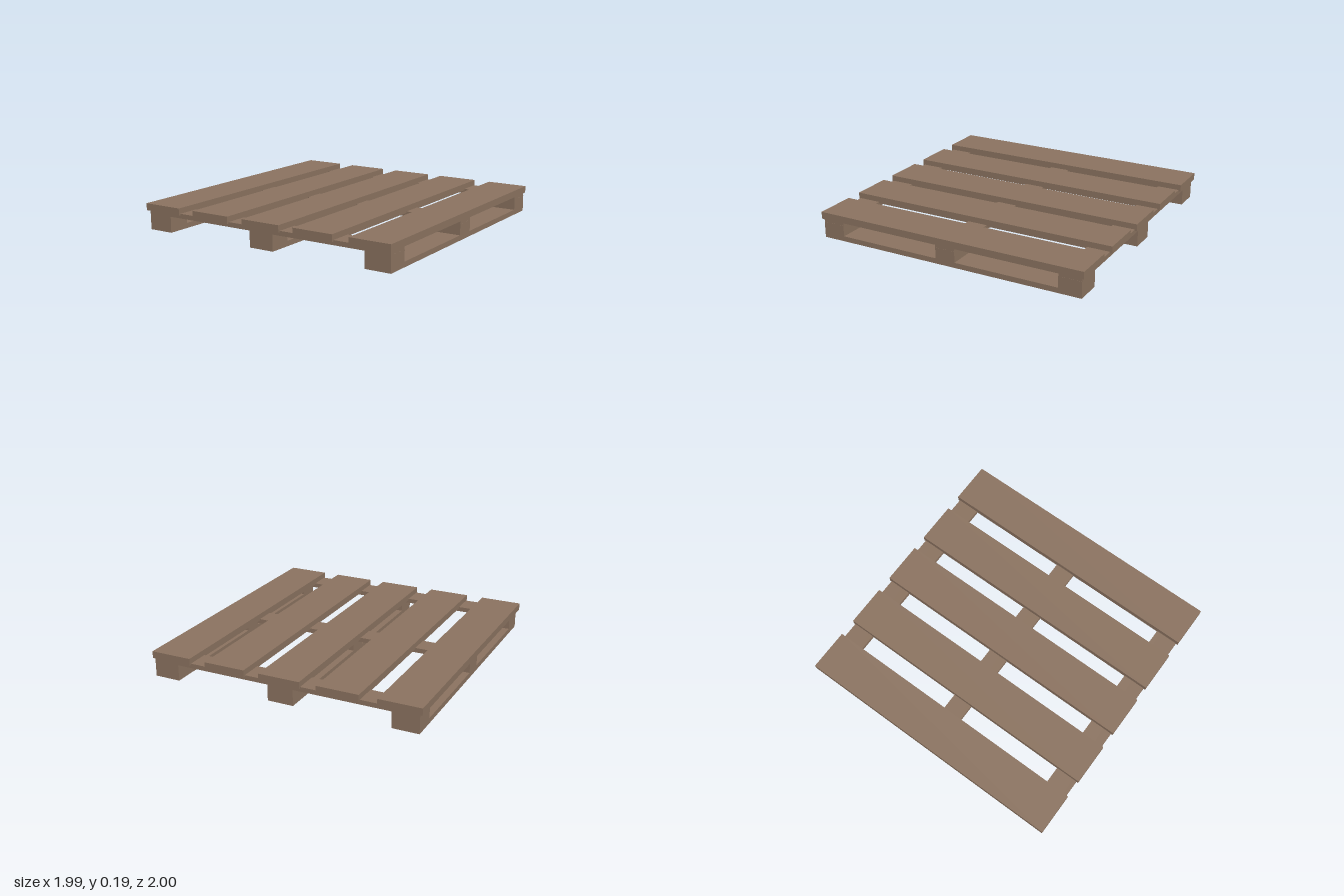
import * as THREE from 'three';

export function createModel() {
  const pallet = new THREE.Group();
  pallet.name = 'pallet';
  const wood = new THREE.MeshStandardMaterial({ color: 0x8b7360, flatShading: true });

  // One plank or block, given by its centre in plan, size and bottom/top heights
  function addBox(name, x, z, width, depth, bottom, top) {
    const mesh = new THREE.Mesh(new THREE.BoxGeometry(width, top - bottom, depth), wood);
    mesh.name = name;
    mesh.position.set(x, (bottom + top) / 2, z);
    pallet.add(mesh);
  }

  const runnerTop = 0.037, crossBottom = 0.115, crossTop = 0.148, deckBottom = 0.138, deckTop = 0.188;
  const columns = [-0.88, 0.004, 0.892];
  const rows = [[-0.904, 0.162], [0, 0.146], [0.904, 0.162]]; // centre z, depth

  // Deck boards running front to back
  [-0.845, -0.417, 0.006, 0.419, 0.843].forEach((x, i) =>
    addBox(`deckBoard${i + 1}`, x, 0, 0.302, 2, deckBottom, deckTop));

  // Cross boards under the deck
  rows.forEach(([z, depth], i) =>
    addBox(`crossBoard${i + 1}`, 0.005, z, 1.96, depth, crossBottom, crossTop));

  // Bottom runners with spacer blocks
  columns.forEach((x, i) => {
    addBox(`runner${i + 1}`, x, 0, 0.188, 1.97, 0, runnerTop);
    rows.forEach(([z, depth], j) =>
      addBox(`block${i + 1}_${j + 1}`, x, z, 0.188, depth, runnerTop, crossBottom));
  });

  return pallet;
}
